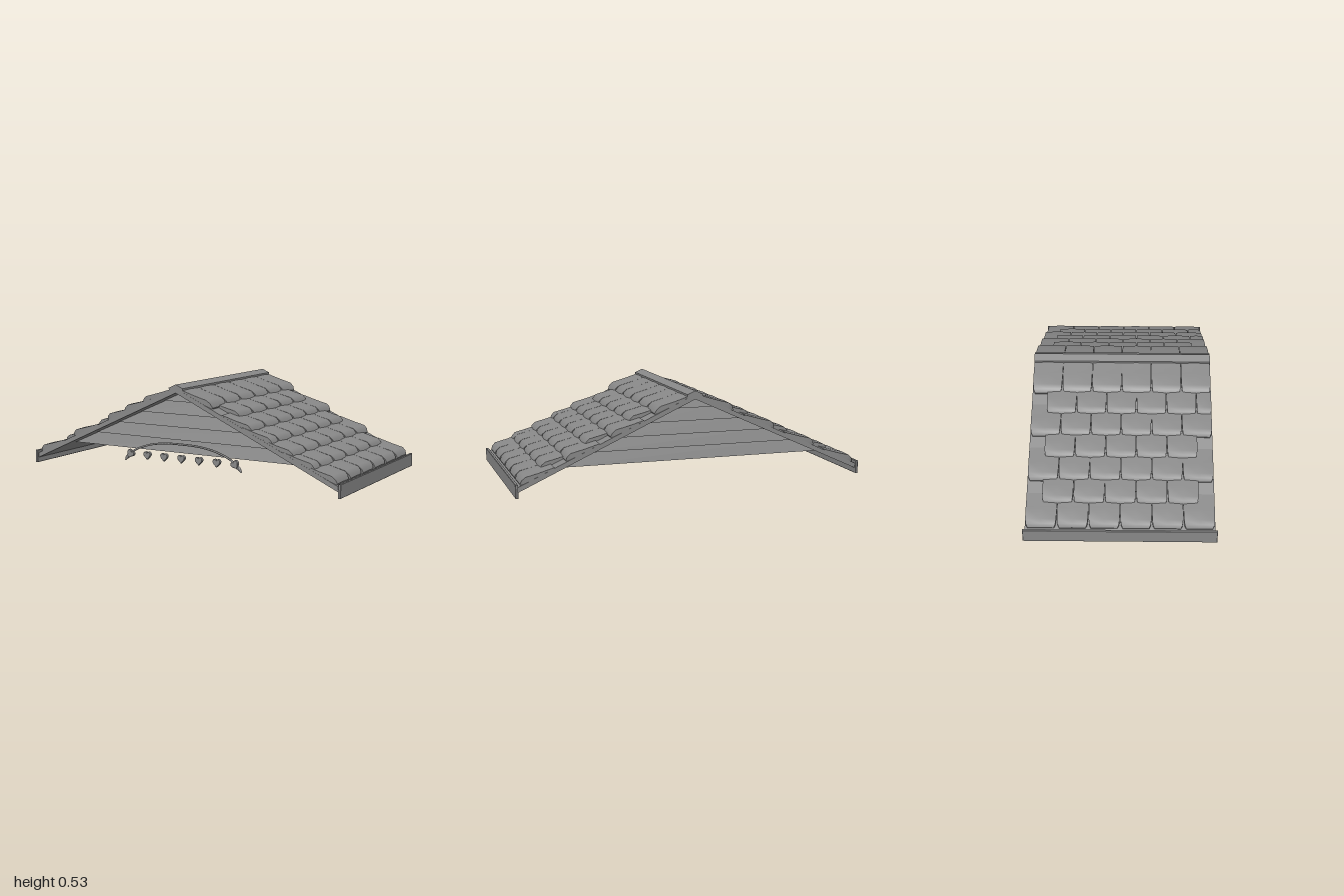
import * as THREE from 'three';

const PITCH = Math.atan2(0.45, 0.985);
const RIDGE_Y = 0.508;

export function createModel() {
  const model = new THREE.Group();
  const grey = new THREE.MeshStandardMaterial({ color: 0x888888 });
  const add = (parent, name, geometry, x = 0, y = 0, z = 0) => {
    const mesh = new THREE.Mesh(geometry, grey);
    mesh.name = name;
    mesh.position.set(x, y, z);
    parent.add(mesh);
    return mesh;
  };
  const polygon = (points) => new THREE.Shape(points.map(([x, y]) => new THREE.Vector2(x, y)));
  const prism = (points, depth) =>
    new THREE.ExtrudeGeometry(polygon(points), { depth, bevelEnabled: false }).translate(0, 0, -depth / 2);

  // Folded roof deck, open underneath
  add(model, 'roofDeck', prism([
    [0, RIDGE_Y], [-0.985, 0.058], [-0.985, 0.03], [0, 0.48], [0.985, 0.03], [0.985, 0.058],
  ], 1.014));

  // Ridge cap
  add(model, 'ridgeCap', prism([
    [0, 0.527], [-0.045, 0.507], [-0.045, 0.485], [0, 0.505], [0.045, 0.485], [0.045, 0.507],
  ], 1.014));

  // Eave boards
  for (const side of [-1, 1]) {
    const board = polygon([[-0.516, 0.002], [0.516, 0.002], [0.516, 0.073], [-0.516, 0.073]]);
    const geometry = new THREE.ExtrudeGeometry(board, {
      depth: 0.011, bevelSize: 0.002, bevelThickness: 0.002, bevelSegments: 1,
    }).translate(0, 0, -0.0055).rotateY(Math.PI / 2);
    add(model, 'eaveBoard', geometry, side * 0.9925);
  }

  // Shingle: rises along its length, then rolls over into a tapered nose
  const stations = [[0, 1, 0.004], [0.45, 1, 0.017], [0.8, 0.98, 0.03], [0.92, 0.94, 0.022], [1, 0.84, 0.006]];
  const shingle = (width, length) => {
    const geometry = new THREE.BoxGeometry(1, 1, 1, 4, 1, 2);
    const p = geometry.attributes.position;
    for (let i = 0; i < p.count; i++) {
      const [u, taper, height] = stations[Math.round((p.getX(i) + 0.5) * 4)];
      const across = p.getZ(i);
      const crown = 0.003 * (1 - 4 * across * across);
      p.setXYZ(i, (u - 1) * length, p.getY(i) > 0 ? height + crown : -0.003, across * width * taper);
    }
    geometry.computeVertexNormals();
    return geometry;
  };
  const full = shingle(0.167, 0.2);
  const half = shingle(0.083, 0.2);
  const top = shingle(0.167, 0.23);

  // Seven staggered courses on each slope, with half shingles at the front
  for (const side of [1, -1]) {
    const flip = new THREE.Group();
    flip.name = side > 0 ? 'leftShingles' : 'rightShingles';
    if (side < 0) flip.rotation.y = Math.PI;
    const slope = new THREE.Group();
    slope.position.y = RIDGE_Y;
    slope.rotation.z = -PITCH;
    flip.add(slope);
    model.add(flip);
    const missing = side > 0 ? [5] : [1, 3];
    for (let row = 0; row < 7; row++) {
      const end = 1.065 - 0.136 * row;
      const count = row % 2 ? 5 : 6;
      for (let i = 0; i < count; i++) {
        add(slope, 'shingle', row === 6 ? top : full, end, 0, (i - (count - 1) / 2) * 0.169);
      }
      if (row % 2 && !missing.includes(row)) add(slope, 'halfShingle', half, end, 0, side * 0.465);
    }
  }

  // Gable ends: backing triangle with overlapping tilted boards
  const roofHalf = (y) => Math.max(0.004, (0.493 - y) / (0.45 / 0.985));
  for (const side of [1, -1]) {
    const gable = new THREE.Group();
    gable.name = side > 0 ? 'frontGable' : 'backGable';
    if (side < 0) gable.rotation.y = Math.PI;
    model.add(gable);
    add(gable, 'gablePanel', prism([[-0.8, 0.13], [0.8, 0.13], [0, 0.495]], 0.012), 0, 0, 0.39);
    const courses = 5;
    const step = 0.363 / courses;
    for (let i = 0; i < courses; i++) {
      const low = 0.13 + i * step;
      const geometry = new THREE.BoxGeometry(2, 1, 1);
      const p = geometry.attributes.position;
      for (let k = 0; k < p.count; k++) {
        const upper = p.getY(k) > 0;
        const y = upper ? low + step : low;
        const z = p.getZ(k) < 0 ? 0.392 : upper ? 0.4 : 0.422;
        p.setXYZ(k, p.getX(k) * roofHalf(y), y, z);
      }
      geometry.computeVertexNormals();
      add(gable, 'sidingBoard', geometry);
    }
  }

  // Garland: arched cord, a row of hearts and a leafy tip at each end
  const garland = new THREE.Group();
  garland.name = 'garland';
  garland.position.z = 0.45;
  model.add(garland);
  const arc = new THREE.CatmullRomCurve3([
    [-0.37, 0.075], [-0.33, 0.118], [-0.23, 0.16], [-0.12, 0.18], [0, 0.184],
    [0.12, 0.18], [0.23, 0.16], [0.33, 0.118], [0.37, 0.075],
  ].map(([x, y]) => new THREE.Vector3(x, y, 0)));
  add(garland, 'cord', new THREE.TubeGeometry(arc, 40, 0.006, 6));

  const heartShape = new THREE.Shape();
  heartShape.moveTo(0, -0.024);
  heartShape.bezierCurveTo(-0.012, -0.012, -0.024, -0.004, -0.022, 0.007);
  heartShape.bezierCurveTo(-0.02, 0.021, -0.004, 0.021, 0, 0.01);
  heartShape.bezierCurveTo(0.004, 0.021, 0.02, 0.021, 0.022, 0.007);
  heartShape.bezierCurveTo(0.024, -0.004, 0.012, -0.012, 0, -0.024);
  const heart = new THREE.ExtrudeGeometry(heartShape, {
    depth: 0.01, bevelSize: 0.002, bevelThickness: 0.004, bevelSegments: 2, curveSegments: 5,
  }).translate(0, 0, -0.005);
  for (let i = -3; i <= 3; i++) {
    const mesh = add(garland, 'heart', heart, i * 0.115, 0.104);
    if (Math.abs(i) === 3) mesh.rotation.z = Math.sign(i) * 0.6;
  }
  const leaf = new THREE.SphereGeometry(1, 8, 6).scale(0.008, 0.022, 0.007);
  for (const side of [-1, 1]) {
    for (const [x, y, turn] of [[0.374, 0.08, 0.5], [0.36, 0.085, 1.1]]) {
      add(garland, 'tipLeaf', leaf, side * x, y).rotation.z = side * turn;
    }
  }
  return model;
}
